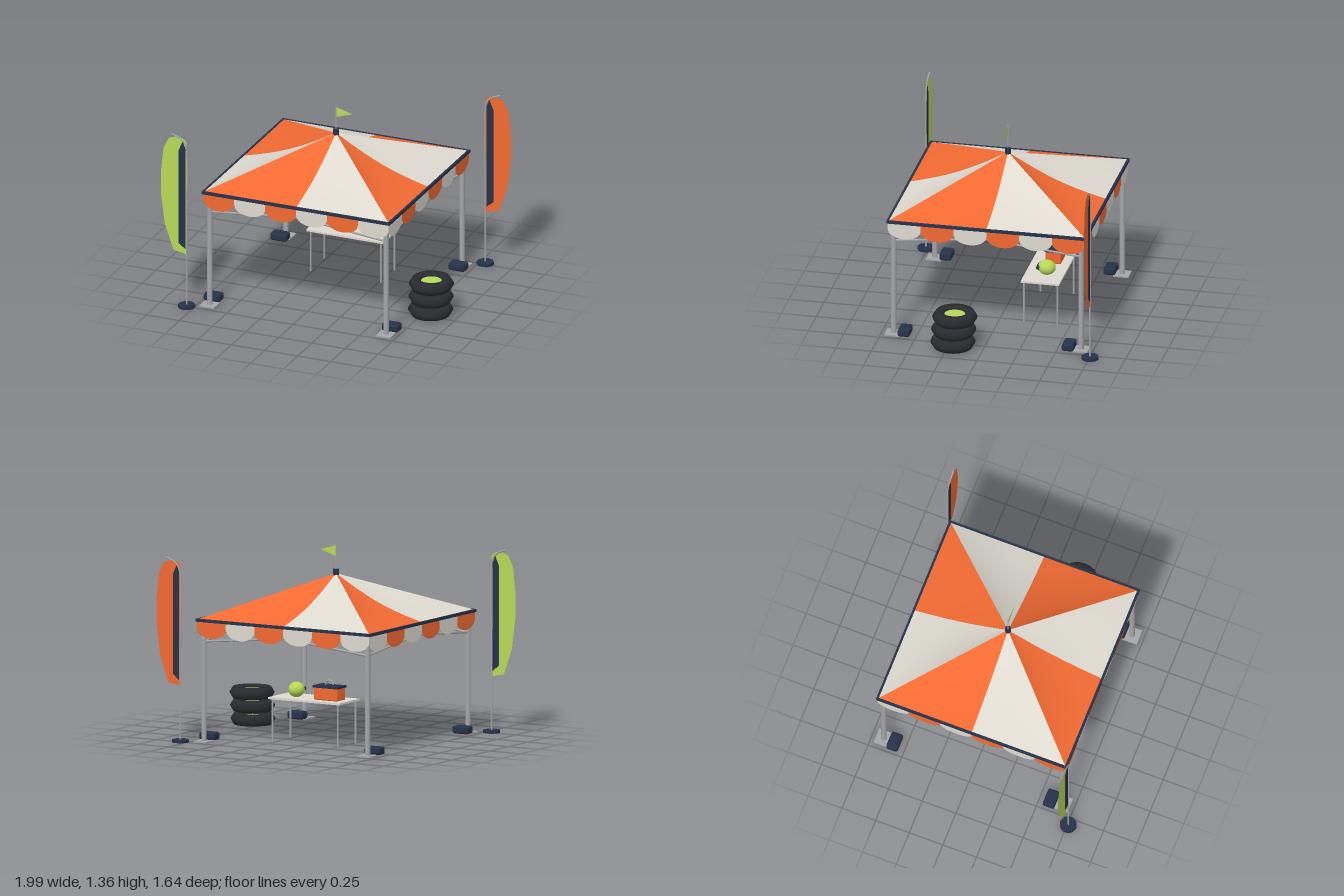
import * as THREE from 'three';
import { RoundedBoxGeometry } from 'three/addons/geometries/RoundedBoxGeometry.js';

const mat = (color, side = THREE.FrontSide) => new THREE.MeshStandardMaterial({ color, side });
const both = THREE.DoubleSide;
const orange = mat(0xf26a32), cream = mat(0xdedad0), green = mat(0xb8d858);
const navy = mat(0x26324a), rubber = mat(0x2a2b31), steel = mat(0xa4a6a8);
const orangeCloth = mat(0xf26a32, both), creamCloth = mat(0xdedad0, both);
const greenCloth = mat(0xb8d858, both);

const HALF = 0.7, EAVE = 0.86, PEAK = 1.15, LEG = 0.665;

function add(parent, name, geometry, material, x = 0, y = 0, z = 0) {
  const mesh = new THREE.Mesh(geometry, material);
  mesh.name = name;
  mesh.position.set(x, y, z);
  parent.add(mesh);
  return mesh;
}

function group(parent, name, x = 0, y = 0, z = 0) {
  const g = new THREE.Group();
  g.name = name;
  g.position.set(x, y, z);
  parent.add(g);
  return g;
}

const rod = (r, h, n = 12) => new THREE.CylinderGeometry(r, r, h, n);

// Straight bar between two points
function bar(parent, name, a, b, r, material) {
  const p = new THREE.Vector3(...a), q = new THREE.Vector3(...b);
  const mesh = add(parent, name, rod(r, p.distanceTo(q), 8), material);
  mesh.position.copy(p).add(q).multiplyScalar(0.5);
  mesh.quaternion.setFromUnitVectors(new THREE.Vector3(0, 1, 0), q.sub(p).normalize());
}

// Half of one roof side: straight hips, with cloth sagging between them
function roofPanel(s0) {
  const g = new THREE.PlaneGeometry(1, 1, 10, 10);
  const pos = g.attributes.position, uv = g.attributes.uv;
  for (let i = 0; i < pos.count; i++) {
    const t = 1 - uv.getY(i), s = s0 + uv.getX(i);
    const sag = 0.035 * Math.sin(Math.PI * t) * (1 - s * s);
    pos.setXYZ(i, s * t * HALF, PEAK - (PEAK - EAVE) * t - sag, t * HALF);
  }
  g.computeVertexNormals();
  return g;
}

// Scallop of the hanging valance
function scallop(w) {
  const s = new THREE.Shape();
  s.moveTo(w / 2, 0);
  s.lineTo(-w / 2, 0);
  s.lineTo(-w / 2, -0.05);
  s.absellipse(0, -0.05, w / 2, 0.07, Math.PI, Math.PI * 2, false);
  return new THREE.ShapeGeometry(s, 10);
}

function buildSide(parent, k) {
  const side = group(parent, 'canopySide');
  side.rotation.y = k * Math.PI / 2;
  add(side, 'roofPanel', roofPanel(-1), orangeCloth);
  add(side, 'roofPanel', roofPanel(0), creamCloth);
  add(side, 'eaveRail', new THREE.BoxGeometry(HALF * 2 + 0.016, 0.02, 0.016), navy, 0, 0.855, HALF);
  const n = 6, w = HALF * 2 / n, g = scallop(w);
  for (let i = 0; i < n; i++) {
    add(side, 'valanceScallop', g, (i + k) % 2 ? creamCloth : orangeCloth, -HALF + w * (i + 0.5), 0.853, HALF);
  }
  // Scissor truss
  for (const s of [-1, 1]) {
    bar(side, 'trussBar', [-s * LEG, 0.705, LEG], [s * LEG, 0.84, LEG], 0.008, steel);
  }
}

function buildLeg(parent, sx, sz) {
  const leg = group(parent, 'cornerLeg', sx * LEG, 0, sz * LEG);
  add(leg, 'legPost', rod(0.019, 0.85), steel, 0, 0.425, 0);
  add(leg, 'footPlate', new THREE.BoxGeometry(0.11, 0.01, 0.11), steel, 0, 0.005, 0);
  add(leg, 'weightBag', new RoundedBoxGeometry(0.125, 0.055, 0.085, 2, 0.016), navy, sx * 0.007, 0.034, -sz * 0.083);
}

// Feather banner, spreading towards -x from its pole
function buildBanner(parent, x, z, turn, cloth) {
  const b = group(parent, 'featherBanner', x, 0, z);
  b.rotation.y = turn;
  add(b, 'bannerBase', rod(0.06, 0.02, 10), navy, 0, 0.01, 0);
  const path = new THREE.CatmullRomCurve3([[0, 0.02], [0, 0.6], [0, 1.17], [-0.012, 1.225], [-0.05, 1.262], [-0.115, 1.287]]
    .map(([px, py]) => new THREE.Vector3(px, py, 0)));
  add(b, 'bannerPole', new THREE.TubeGeometry(path, 40, 0.006, 8), steel);
  const panel = (pts) => new THREE.Shape(pts.map((p) => new THREE.Vector2(...p)));
  add(b, 'bannerCloth', new THREE.ShapeGeometry(panel([
    [0, 0.395], [-0.1, 0.415], [-0.165, 0.6], [-0.195, 0.83], [-0.195, 0.98],
    [-0.175, 1.17], [-0.135, 1.25], [-0.07, 1.275], [-0.02, 1.26], [0, 1.24]])), cloth);
  const stripe = new THREE.ExtrudeGeometry(panel([
    [-0.01, 0.435], [-0.06, 0.475], [-0.06, 1.17], [-0.03, 1.24], [-0.01, 1.19]]),
  { depth: 0.006, bevelEnabled: false });
  add(b, 'bannerStripe', stripe, navy, 0, 0, -0.003);
}

function buildTable(parent) {
  const t = group(parent, 'table', 0, 0, -0.29);
  add(t, 'tableTop', new THREE.BoxGeometry(0.58, 0.014, 0.272), cream, 0, 0.306, 0);
  for (const sx of [-1, 1]) for (const sz of [-1, 1]) {
    add(t, 'tableLeg', rod(0.007, 0.3, 8), steel, sx * 0.265, 0.15, sz * 0.118);
  }
  // Toolbox
  const box = group(t, 'toolbox', -0.138, 0.313, -0.02);
  add(box, 'toolboxBody', new RoundedBoxGeometry(0.19, 0.09, 0.11, 2, 0.008), orange, 0, 0.045, 0);
  add(box, 'toolboxLid', new THREE.BoxGeometry(0.2, 0.016, 0.12), navy, 0, 0.094, 0);
  add(box, 'toolboxHandle', new THREE.TorusGeometry(0.03, 0.006, 8, 16, Math.PI), steel, 0, 0.106, 0);
  // Helmet
  const helmet = group(t, 'helmet', 0.134, 0.365, -0.015);
  add(helmet, 'helmetShell', new THREE.SphereGeometry(0.058, 20, 14), green).scale.set(0.98, 0.92, 1.08);
  add(helmet, 'helmetVisor', new RoundedBoxGeometry(0.076, 0.03, 0.03, 2, 0.01), navy, 0, 0.002, 0.054);
}

// Stack of tyres with coloured hubs
function buildTyres(parent) {
  const stack = group(parent, 'tyreStack', 0.806, 0, 0.2);
  const tyre = new THREE.TorusGeometry(0.112, 0.045, 6, 24).rotateX(Math.PI / 2);
  [[0.046, 0.013], [0.14, 0.008], [0.232, 0]].forEach(([y, z]) => {
    add(stack, 'tyre', tyre, rubber, 0, y, z);
    add(stack, 'tyreHub', rod(0.073, 0.04, 20), green, 0, y, z);
  });
}

export function createModel() {
  const model = new THREE.Group();
  model.name = 'canopyTent';
  for (let k = 0; k < 4; k++) buildSide(model, k);
  for (const sx of [-1, 1]) for (const sz of [-1, 1]) buildLeg(model, sx, sz);

  // Peak cap with pole and pennant
  add(model, 'peakCap', rod(0.022, 0.045, 10), navy, 0, 1.158, 0);
  add(model, 'pennantPole', rod(0.005, 0.18, 8), steel, 0, 1.265, 0);
  const pennant = new THREE.Shape([[0, 1.27], [0.127, 1.31], [0, 1.346]].map((p) => new THREE.Vector2(...p)));
  add(model, 'pennant', new THREE.ShapeGeometry(pennant), greenCloth);

  buildBanner(model, -0.8, 0.758, 0, greenCloth);
  buildBanner(model, 0.8, -0.758, Math.PI, orangeCloth);
  buildTable(model);
  buildTyres(model);
  return model;
}
